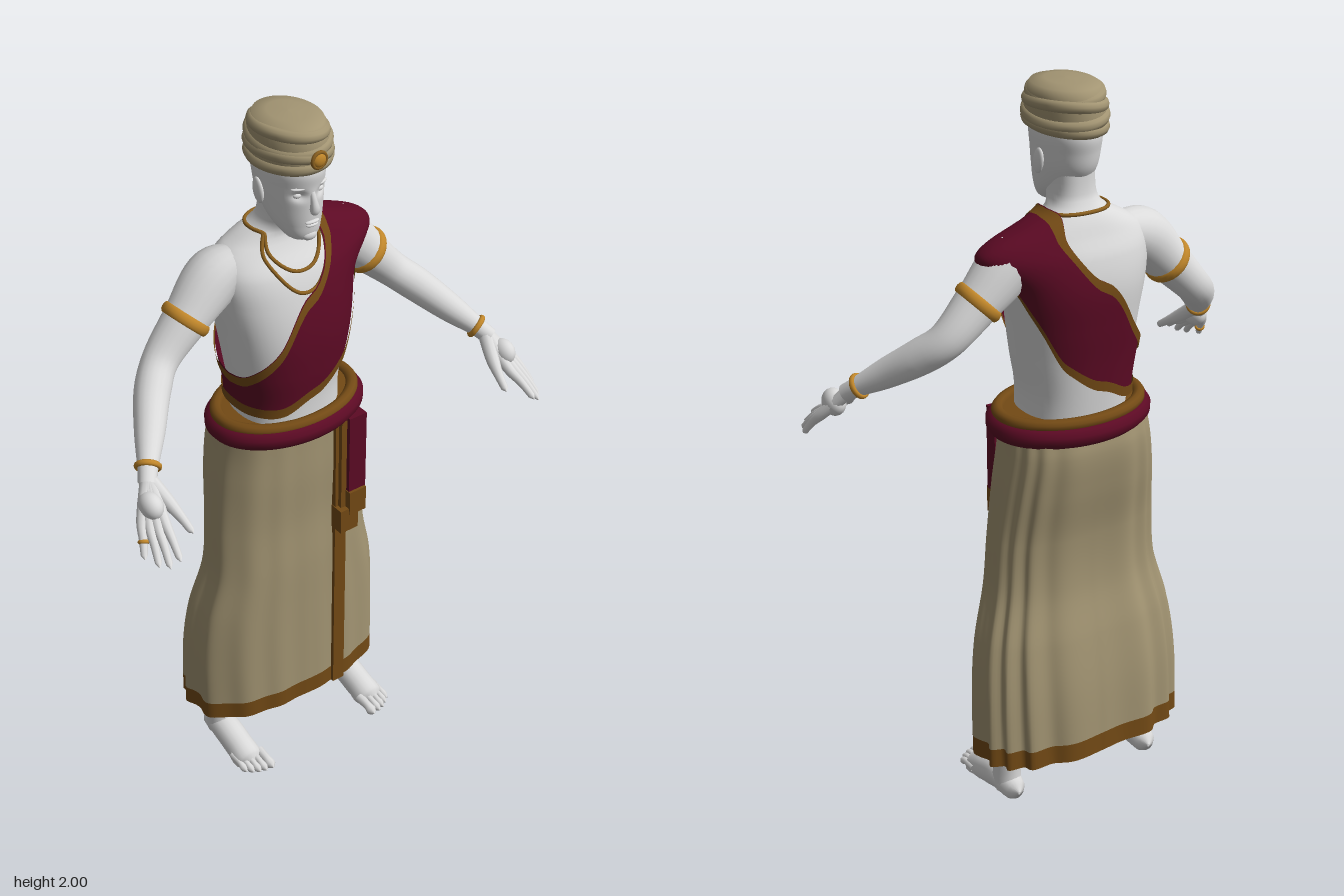
import * as THREE from 'three';
import { ParametricGeometry } from 'three/addons/geometries/ParametricGeometry.js';

const mat = (name, color) => new THREE.MeshStandardMaterial({ name, color, side: THREE.DoubleSide });
const skin = mat('pale skin', 0xdadada), tan = mat('tan cloth', 0xa39573), red = mat('crimson cloth', 0x5c0a24);
const brown = mat('brown trim', 0x734a15), gold = mat('gold', 0xc0862a), rope = mat('dark gold', 0x8a6020);

const V = (x, y, z) => new THREE.Vector3(x, y, z);
const pw = (c, e) => Math.sign(c) * Math.abs(c) ** e;

// smooth interpolation of a table whose rows are [key, ...values]
function sample(rows, v) {
  const n = rows.length;
  let i = 0;
  while (i < n - 2 && v > rows[i + 1][0]) i++;
  const a = rows[i], b = rows[i + 1], p = rows[Math.max(i - 1, 0)], q = rows[Math.min(i + 2, n - 1)];
  const h = b[0] - a[0], t = Math.min(1, Math.max(0, (v - a[0]) / h));
  return a.slice(1).map((_, k) => {
    k++;
    const m0 = (b[k] - p[k]) / (b[0] - p[0]) * h, m1 = (q[k] - a[k]) / (q[0] - a[0]) * h;
    return (2 * t ** 3 - 3 * t * t + 1) * a[k] + (t ** 3 - 2 * t * t + t) * m0
      + (3 * t * t - 2 * t ** 3) * b[k] + (t ** 3 - t * t) * m1;
  });
}

// torso rows: height, half width, half depth, centre z
const TORSO = [[1.08, .15, .125, -.09], [1.2, .145, .128, -.095], [1.3, .16, .135, -.095], [1.4, .175, .14, -.1],
  [1.5, .19, .135, -.11], [1.58, .195, .115, -.115], [1.63, .175, .085, -.12], [1.665, .12, .068, -.12],
  [1.69, .075, .06, -.11], [1.72, .06, .06, -.095], [1.8, .058, .06, -.09]];
// skirt rows: height, half width, front z, back z
const SKIRT = [[.15, .305, .03, -.275], [.35, .303, .03, -.265], [.5, .288, .03, -.245], [.65, .252, .03, -.215],
  [.8, .24, .025, -.215], [.95, .225, .03, -.24], [1.05, .21, .03, -.25], [1.12, .2, .03, -.24]];
// head rows: height, half width, front z, back z
const HEAD = [[1.676, .003, .0, -.02], [1.682, .026, .018, -.04], [1.695, .044, .03, -.06], [1.73, .063, .035, -.115],
  [1.78, .075, .038, -.157], [1.83, .081, .04, -.172], [1.88, .082, .042, -.177], [1.95, .06, .0, -.14]];
// sash rows: angle (right side to left side), lower edge, upper edge
const SASH = [[-90, 1.18, 1.29], [-65, 1.18, 1.31], [-29, 1.185, 1.39], [-5, 1.22, 1.51], [5, 1.235, 1.545],
  [22, 1.275, 1.63], [34, 1.31, 1.668], [50, 1.4, 1.688], [65, 1.47, 1.694], [80, 1.545, 1.696], [90, 1.56, 1.697]];

function torsoPoint(a, y, off, bulge = 0) {
  const [rx, rz, zc] = sample(TORSO, y);
  const puff = bulge * Math.max(0, Math.sin(a)) ** 3 * Math.exp(-(((y - 1.6) / .06) ** 2));
  return V((rx + off + puff) * pw(Math.sin(a), .85), y, zc + (rz + off) * pw(Math.cos(a), .85));
}

function skirtPoint(a, y) {
  const [rx, f, b] = sample(SKIRT, y);
  const back = .65 - .35 * Math.cos(a);
  const w = 1 + back * (.012 + .035 * (1.1 - y)) * Math.sin(15 * a + 2 * Math.sin(3 * a) + 1.5 * y);
  return V(rx * w * pw(Math.sin(a), .8), y, (f + b) / 2 + (f - b) / 2 * w * pw(Math.cos(a), .8));
}

function headPoint(a, y) {
  const [rx, f, b] = sample(HEAD, y);
  const p = V(rx * Math.sin(a), y, (f + b) / 2 + (f - b) / 2 * Math.cos(a));
  // eye sockets
  if (p.z > -.02) p.z -= .011 * Math.exp(-(((Math.abs(p.x) - .032) / .016) ** 2) - ((y - 1.815) / .012) ** 2);
  return p;
}

export function createModel() {
  const root = new THREE.Group();
  const add = (name, geo, m, parent = root) => {
    const o = new THREE.Mesh(geo, m);
    o.name = name;
    parent.add(o);
    return o;
  };
  const group = name => {
    const g = new THREE.Group();
    g.name = name;
    root.add(g);
    return g;
  };
  // surface around the body: fn(angle, v) with v rising from 0 to 1
  const wrap = (name, fn, m, nu, nv) => add(name,
    new ParametricGeometry((u, v, t) => t.copy(fn(u * Math.PI * 2, v)), nu, nv), m);
  // tapering round limb through rows [x, y, z, radius]
  const limb = (name, pts, m, parent, n = 20, sides = 14) => {
    const curve = new THREE.CatmullRomCurve3(pts.map(p => V(p[0], p[1], p[2])));
    const geo = new THREE.TubeGeometry(curve, n, 1, sides), pos = geo.attributes.position, p = V();
    const radii = pts.map((q, i) => [i / (pts.length - 1), q[3]]);
    for (let i = 0; i <= n; i++) {
      const c = curve.getPointAt(i / n), r = Math.max(.001, sample(radii, curve.getUtoTmapping(i / n))[0]);
      for (let j = 0; j <= sides; j++) {
        const k = i * (sides + 1) + j;
        p.fromBufferAttribute(pos, k).sub(c).multiplyScalar(r).add(c);
        pos.setXYZ(k, p.x, Math.max(p.y, .001), p.z);
      }
    }
    return add(name, geo, m, parent);
  };
  // closed rope through a function of the angle
  const loop = (name, fn, r, m, n = 64) => {
    const pts = Array.from({ length: n }, (_, i) => fn(i / n * Math.PI * 2));
    return add(name, new THREE.TubeGeometry(new THREE.CatmullRomCurve3(pts, true), n * 2, r, 10, true), m);
  };
  const blob = (name, x, y, z, sx, sy, sz, m, parent) => {
    const o = add(name, new THREE.SphereGeometry(1, 20, 14), m, parent);
    o.position.set(x, y, z);
    o.scale.set(sx, sy, sz);
    return o;
  };
  const box = (name, x0, x1, y0, y1, z0, z1, m) => {
    const o = add(name, new THREE.BoxGeometry(x1 - x0, y1 - y0, z1 - z0), m);
    o.position.set((x0 + x1) / 2, (y0 + y1) / 2, (z0 + z1) / 2);
  };
  const band = (name, at, dir, r, tube, wide, m, parent) => {
    const o = add(name, new THREE.TorusGeometry(r, tube, 10, 32), m, parent);
    o.position.copy(at);
    o.quaternion.setFromUnitVectors(V(0, 0, 1), dir.normalize());
    o.scale.z = wide;
  };

  // body and head
  wrap('torso and neck', (a, v) => torsoPoint(a, 1.08 + .72 * v, 0), skin, 48, 48);
  wrap('head', (a, v) => headPoint(a, 1.676 + .274 * v), skin, 64, 56);
  const face = group('face');
  limb('nose', [[0, 1.828, .03, .007], [0, 1.8, .041, .009], [0, 1.776, .045, .013], [0, 1.765, .035, .006]], skin, face);
  blob('upper lip', 0, 1.74, .034, .021, .005, .009, skin, face);
  blob('lower lip', 0, 1.731, .033, .018, .005, .009, skin, face);
  blob('chin', 0, 1.698, .022, .022, .015, .014, skin, face);

  for (const s of [1, -1]) {
    const side = s > 0 ? 'left' : 'right';
    blob(side + 'Eye', s * .032, 1.815, .016, .013, .008, .01, skin, face);
    blob(side + 'Brow', s * .033, 1.836, .024, .021, .005, .01, skin, face).rotation.y = s * .35;
    blob(side + 'Ear', s * .083, 1.805, -.075, .009, .034, .02, skin, face).rotation.x = -.2;
    const flip = rows => rows.map(([x, y, z, r]) => [s * x, y, z, r]);

    // arm and hand
    const arm = group(side + 'Arm');
    limb('arm', flip([[.12, 1.6, -.12, .05], [.19, 1.575, -.12, .074], [.28, 1.49, -.115, .06], [.37, 1.4, -.105, .048],
      [.42, 1.355, -.065, .047], [.48, 1.295, .01, .039], [.53, 1.245, .075, .026], [.55, 1.222, .103, .024]]), skin, arm, 40, 20);
    const fingers = [[.555, 1.155, .185, .57, 1.105, .27], [.573, 1.15, .18, .594, 1.088, .262],
      [.588, 1.15, .167, .612, 1.086, .24], [.6, 1.155, .15, .628, 1.092, .2]];
    for (const [kx, ky, kz, tx, ty, tz] of fingers)
      limb('finger', flip([[.54, 1.235, .09, .02], [kx, ky, kz, .0145], [(kx + tx) / 2, (ky + ty) / 2 + .004, (kz + tz) / 2, .011],
        [tx, ty, tz, .008], [tx + .001, ty - .003, tz + .004, .001]]), skin, arm, 18, 10);
    limb('thumb', flip([[.54, 1.23, .095, .02], [.522, 1.185, .15, .018], [.511, 1.155, .195, .012],
      [.506, 1.135, .226, .009], [.505, 1.132, .232, .001]]), skin, arm, 18, 10);
    blob('palm', s * .567, 1.187, .14, .03, .036, .04, skin, arm);
    band('armband', V(s * .283, 1.487, -.115), V(s * .09, -.09, .008), .059, .008, 1.9, gold, arm);
    band('bracelet', V(s * .527, 1.248, .071), V(s * .05, -.05, .065), .029, .006, 1.3, gold, arm);
    if (s < 0) band('finger ring', V(-.615, 1.122, .178), V(-.03, -.06, .05), .011, .004, 1.2, gold, arm);

    // leg and foot
    const leg = group(side + 'Leg');
    limb('shin', flip([[.21, .5, -.12, .062], [.215, .3, -.125, .055], [.22, .13, -.122, .037], [.22, .06, -.12, .04],
      [.22, .02, -.125, .035]]), skin, leg);
    limb('foot', flip([[.217, .03, -.183, .004], [.218, .03, -.165, .03], [.22, .042, -.1, .041], [.221, .022, -.02, .042],
      [.222, .002, .04, .042], [.223, .004, .068, .01]]), skin, leg, 24, 18);
    [[.186, .102, .015], [.208, .1, .0115], [.226, .094, .011], [.243, .084, .0105], [.258, .07, .0105]].forEach(([x, z, r], i) =>
      limb('toe', flip([[x, .02, z - .07, r], [x, .017, z - .03, r * .85], [x, .012, z - .01, r], [x, .01, z + .003, .002]]), skin, leg, 12, 10));
  }

  // turban: capped body with slanting rolls and a brooch
  const profile = [[.8, 1.885], [.97, 1.887], [1, 1.91], [.98, 1.945], [.94, 1.97], [.84, 1.99], [.5, 1.998], [0, 2]];
  const cap = add('turban', new THREE.LatheGeometry(profile.map(p => new THREE.Vector2(...p)), 48), tan);
  cap.position.z = -.065;
  cap.scale.set(.095, 1, .122);
  for (const [y, rx, rz, tx, tz] of [[1.893, .085, .112, .004, .004], [1.915, .086, .113, -.008, .008],
    [1.942, .083, .11, .008, -.008], [1.966, .076, .102, -.008, .005]])
    loop('turban roll', a => V(rx * Math.sin(a), y + tx * Math.sin(a) + tz * Math.cos(a), -.065 + rz * Math.cos(a)), .017, tan);
  blob('brooch', 0, 1.92, .06, .02, .02, .012, gold);
  band('brooch rim', V(0, 1.92, .062), V(0, 0, 1), .02, .005, 1, rope, root);

  // sash over the left shoulder, with hems along both edges
  const sash = (name, m, off, edges, nv) => wrap(name, (a, v) => {
    const fold = Math.asin(Math.max(-1, Math.min(1, Math.sin(a)))) * 180 / Math.PI;
    const [lo, hi] = sample(SASH, fold);
    const hem = .028 - .014 * Math.max(0, Math.sin(a)) ** 2;
    const [y0, y1] = edges(lo, hi, hem);
    return torsoPoint(a, y0 + (y1 - y0) * v, off, .08);
  }, m, 120, nv);
  sash('sash', red, .012, (lo, hi) => [lo, hi], 24);
  sash('sash lower hem', brown, .016, (lo, hi, h) => [lo, lo + h], 4);
  sash('sash upper hem', brown, .016, (lo, hi, h) => [hi - h, hi], 4);

  // necklaces
  for (const depth of [.155, .1])
    loop('necklace', a => {
      const d = Math.min(a, Math.PI * 2 - a) / .47;
      return torsoPoint(a, 1.685 - depth * Math.exp(-d * d), .004);
    }, .005, rope, 90);

  // skirt with hem and front border
  wrap('skirt', (a, v) => skirtPoint(a, .205 + .915 * v), tan, 160, 40);
  wrap('skirt hem', (a, v) => skirtPoint(a, .15 + .055 * v), brown, 160, 3);
  box('skirt front border', .08, .118, .152, 1.1, .012, .037, brown);

  // rolled belt and its hanging ends
  loop('belt roll', a => V(.005 + .203 * Math.sin(a), 1.117 + .004 * Math.cos(a), -.095 + .14 * Math.cos(a)), .03, red);
  loop('belt rim', a => V(.005 + .2 * Math.sin(a), 1.146, -.095 + .138 * Math.cos(a)), .017, brown);
  const top = add('belt top', new THREE.CylinderGeometry(1, 1, .02, 48), brown);
  top.position.set(.005, 1.14, -.095);
  top.scale.set(.195, 1, .135);
  box('long belt end', .078, .137, .735, .81, .015, .066, brown);
  box('long belt end strip', .09, .125, .81, 1.1, .015, .05, brown);
  box('short belt end', .107, .163, .865, 1.11, .02, .062, red);
  box('short belt end trim', .105, .16, .79, .866, .02, .07, brown);
  return root;
}
